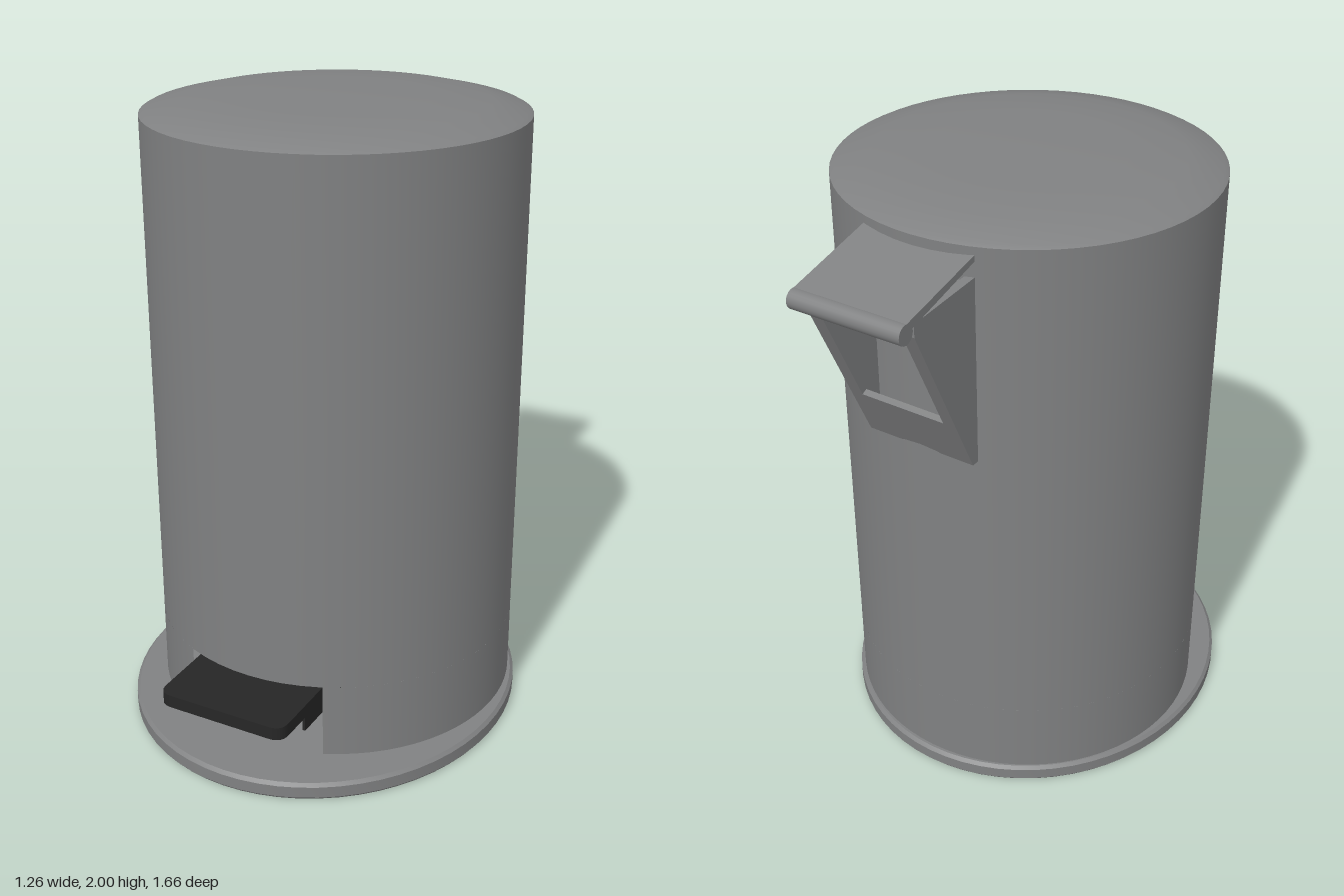
import * as THREE from 'three';
import { toCreasedNormals } from 'three/addons/utils/BufferGeometryUtils.js';

export function createModel() {
  const model = new THREE.Group();
  model.name = 'pedalBin';
  const grey = new THREE.MeshStandardMaterial({ name: 'grey metal', color: 0x808182 });
  const greyShell = new THREE.MeshStandardMaterial({ name: 'grey metal shell', color: 0x808182, side: THREE.DoubleSide });
  const black = new THREE.MeshStandardMaterial({ name: 'black plastic', color: 0x262626 });

  const R = 0.59, CZ = 0.065, SEG = 64;
  const BASE_TOP = 0.055, NOTCH_TOP = 0.3, RIM = 1.955;

  function add(name, geometry, material, parent = model) {
    const mesh = new THREE.Mesh(geometry, material);
    mesh.name = name;
    parent.add(mesh);
    return mesh;
  }
  const lathe = pts => toCreasedNormals(
    new THREE.LatheGeometry(pts.map(p => new THREE.Vector2(...p)), SEG), 0.6);
  const polygon = pts => new THREE.Shape(pts.map(p => new THREE.Vector2(...p)));
  // Side profile given as (distance behind centre, height), extruded along x from x0
  function sideExtrude(pts, x0, width) {
    const g = new THREE.ExtrudeGeometry(polygon(pts), { depth: width, bevelEnabled: false });
    return g.rotateY(Math.PI / 2).translate(x0, 0, 0);
  }

  // Oval base plate
  const base = add('base', lathe([[0, 0], [0.624, 0], [0.63, 0.008], [0.63, 0.045], [0.62, BASE_TOP], [0, BASE_TOP]]), grey);
  base.scale.z = 0.6875 / 0.63;
  base.position.z = 0.1425;

  // Hollow body with an opening for the pedal
  const body = new THREE.Group();
  body.name = 'body';
  body.position.z = CZ;
  model.add(body);
  const half = Math.asin(0.235 / R);
  const wall = (name, y0, y1, start, sweep) => add(name,
    new THREE.CylinderGeometry(R, R, y1 - y0, SEG, 1, true, start, sweep).translate(0, (y0 + y1) / 2, 0), greyShell, body);
  wall('upperWall', NOTCH_TOP, RIM, 0, Math.PI * 2);
  wall('lowerWall', BASE_TOP - 0.005, NOTCH_TOP, half, Math.PI * 2 - half * 2);

  // Shallow domed lid
  const lid = add('lid', lathe([[0, RIM], [R, RIM], [0.575, 1.963], [0.47, 1.988], [0.3, 1.997], [0, 2]]), grey);
  lid.position.z = CZ;

  // Pedal with rounded front corners
  const w = 0.218, front = 0.83, c = 0.045;
  const outline = new THREE.Shape();
  outline.moveTo(-w, -0.2);
  outline.lineTo(w, -0.2);
  outline.lineTo(w, -front + c);
  outline.quadraticCurveTo(w, -front, w - c, -front);
  outline.lineTo(-w + c, -front);
  outline.quadraticCurveTo(-w, -front, -w, -front + c);
  const pedal = add('pedal', new THREE.ExtrudeGeometry(outline, { depth: 0.042, bevelEnabled: false }), black);
  pedal.rotation.x = -Math.PI / 2;
  pedal.position.y = 0.234;

  // Ribs under the pedal
  for (const x of [-0.153, 0, 0.153]) {
    const rib = add('pedalRib', new THREE.BoxGeometry(0.009, 0.136, 0.36), black);
    rib.position.set(x, 0.167, 0.4);
  }

  // Rear bracket: two cheeks, top plate and a sloping panel with a window
  const bracket = new THREE.Group();
  bracket.name = 'rearBracket';
  model.add(bracket);
  const W = 0.185, T = 0.028, inner = W - T;
  const cheek = [[0.49, 1.27], [0.52, 1.27], [0.77, 1.81], [0.77, 1.85], [0.49, 1.865]];
  for (const x0 of [-W, W - T]) add('bracketCheek', sideExtrude(cheek, x0, T), grey, bracket);
  add('bracketTop', new THREE.BoxGeometry(inner * 2, 0.022, 0.28), grey, bracket).position.set(0, 1.841, -0.625);
  const len = Math.hypot(0.25, 0.54);
  const rect = (x, y0, y1) => [[-x, y0], [x, y0], [x, y1], [-x, y1]];
  const panelShape = polygon(rect(inner, 0, len));
  panelShape.holes.push(polygon(rect(inner - 0.015, len * 0.32, len * 0.93)));
  const panel = add('bracketPanel', new THREE.ExtrudeGeometry(panelShape, { depth: 0.02, bevelEnabled: false }), grey, bracket);
  panel.rotation.x = -Math.atan2(0.25, 0.54);
  panel.position.set(0, 1.27, -0.52);

  // Hinge tab running from the lid to the hinge rod
  const tab = [[0.47, 1.918], [0.8, 1.836], [0.81, 1.862], [0.47, 1.936]];
  add('hingeTab', sideExtrude(tab, -W, W * 2), grey);
  const rod = add('hingeRod', new THREE.CylinderGeometry(0.03, 0.03, W * 2, 20), grey);
  rod.rotation.z = Math.PI / 2;
  rod.position.set(0, 1.835, -0.805);

  return model;
}
